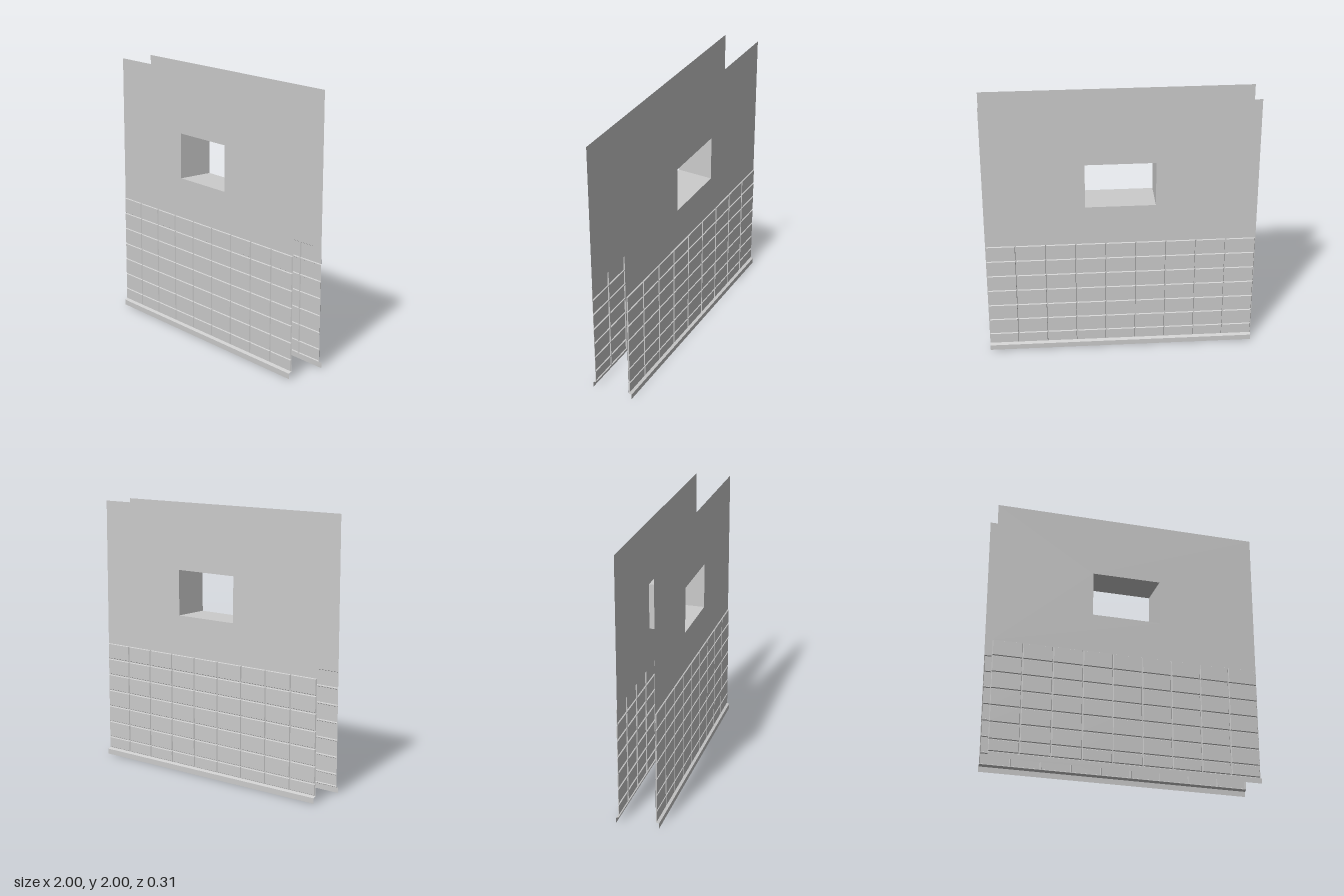
import * as THREE from 'three';
import { mergeGeometries } from 'three/addons/utils/BufferGeometryUtils.js';

const X0 = -0.992, X1 = 1;            // extent of one face of the wall
const Z_WALL = 0.134, Z_BRICK = 0.142, Z_PLINTH = 0.157;
const HOLE = { x: 0.257, y0: 1.19, y1: 1.53 };
const ROWS = [0.05, 0.14, 0.265, 0.39, 0.517, 0.643, 0.768, 0.892];
const COLUMNS = 9;

const material = new THREE.MeshStandardMaterial({
  color: 0xcccccc, flatShading: true, side: THREE.DoubleSide,
});

function part(name, geometry) {
  const mesh = new THREE.Mesh(geometry, material);
  mesh.name = name;
  return mesh;
}

// Surface through cross-sections that each have the same number of points
function loft(sections, closed, cap) {
  const n = sections[0].length, index = [];
  const last = closed ? n : n - 1;
  for (let s = 0; s < sections.length - 1; s++) {
    for (let i = 0; i < last; i++) {
      const a = s * n + i, b = s * n + (i + 1) % n;
      index.push(a, b, b + n, a, b + n, a + n);
    }
  }
  if (cap) {
    const k = (sections.length - 1) * n;
    index.push(k, k + 1, k + 2, k, k + 2, k + 3);
  }
  const g = new THREE.BufferGeometry();
  g.setAttribute('position', new THREE.Float32BufferAttribute(sections.flat(2), 3));
  g.setIndex(index);
  g.computeVertexNormals();
  return g;
}

// One brick with half of the surrounding joint
function brick(x0, x1, y0, y1) {
  const ring = (d, z) => [
    [x0 + d, y0 + d, z], [x1 - d, y0 + d, z], [x1 - d, y1 - d, z], [x0 + d, y1 - d, z],
  ];
  return loft([ring(0, Z_WALL), ring(0.003, Z_WALL), ring(0.007, Z_BRICK)], true, true);
}

function createFace() {
  const face = new THREE.Group();

  // Smooth upper panel with the window opening
  const top = ROWS[ROWS.length - 1];
  const shape = new THREE.Shape([
    new THREE.Vector2(X0, top), new THREE.Vector2(X1, top),
    new THREE.Vector2(X1, 2), new THREE.Vector2(X0, 2),
  ]);
  shape.holes.push(new THREE.Path([
    new THREE.Vector2(-HOLE.x, HOLE.y0), new THREE.Vector2(-HOLE.x, HOLE.y1),
    new THREE.Vector2(HOLE.x, HOLE.y1), new THREE.Vector2(HOLE.x, HOLE.y0),
  ]));
  face.add(part('upperPanel', new THREE.ShapeGeometry(shape).translate(0, 0, Z_WALL)));

  // Stacked brick courses
  const w = (X1 - X0) / COLUMNS;
  const bricks = [];
  for (let r = 0; r < ROWS.length - 1; r++) {
    for (let c = 0; c < COLUMNS; c++) {
      bricks.push(brick(X0 + c * w, X0 + (c + 1) * w, ROWS[r], ROWS[r + 1]));
    }
  }
  face.add(part('brickCourses', mergeGeometries(bricks)));

  // Plinth strip with a sloped top
  const profile = [[ROWS[0], Z_WALL], [0.04, Z_PLINTH], [0, Z_PLINTH]];
  const sections = profile.map(([y, z]) => [[X1, y, z], [X0, y, z]]);
  face.add(part('plinth', loft(sections, false, false)));
  return face;
}

export function createModel() {
  const model = new THREE.Group();
  model.name = 'wallSegment';

  const front = createFace();
  front.name = 'frontFace';
  const back = createFace();
  back.name = 'backFace';
  back.rotation.y = Math.PI;
  model.add(front, back);

  // Window reveal joining the two faces, facing inward
  const { x, y0, y1 } = HOLE;
  const outline = (z) => [[-x, y0, z], [x, y0, z], [x, y1, z], [-x, y1, z]];
  model.add(part('windowReveal', loft([outline(Z_WALL), outline(-Z_WALL)], true, false)));
  return model;
}
